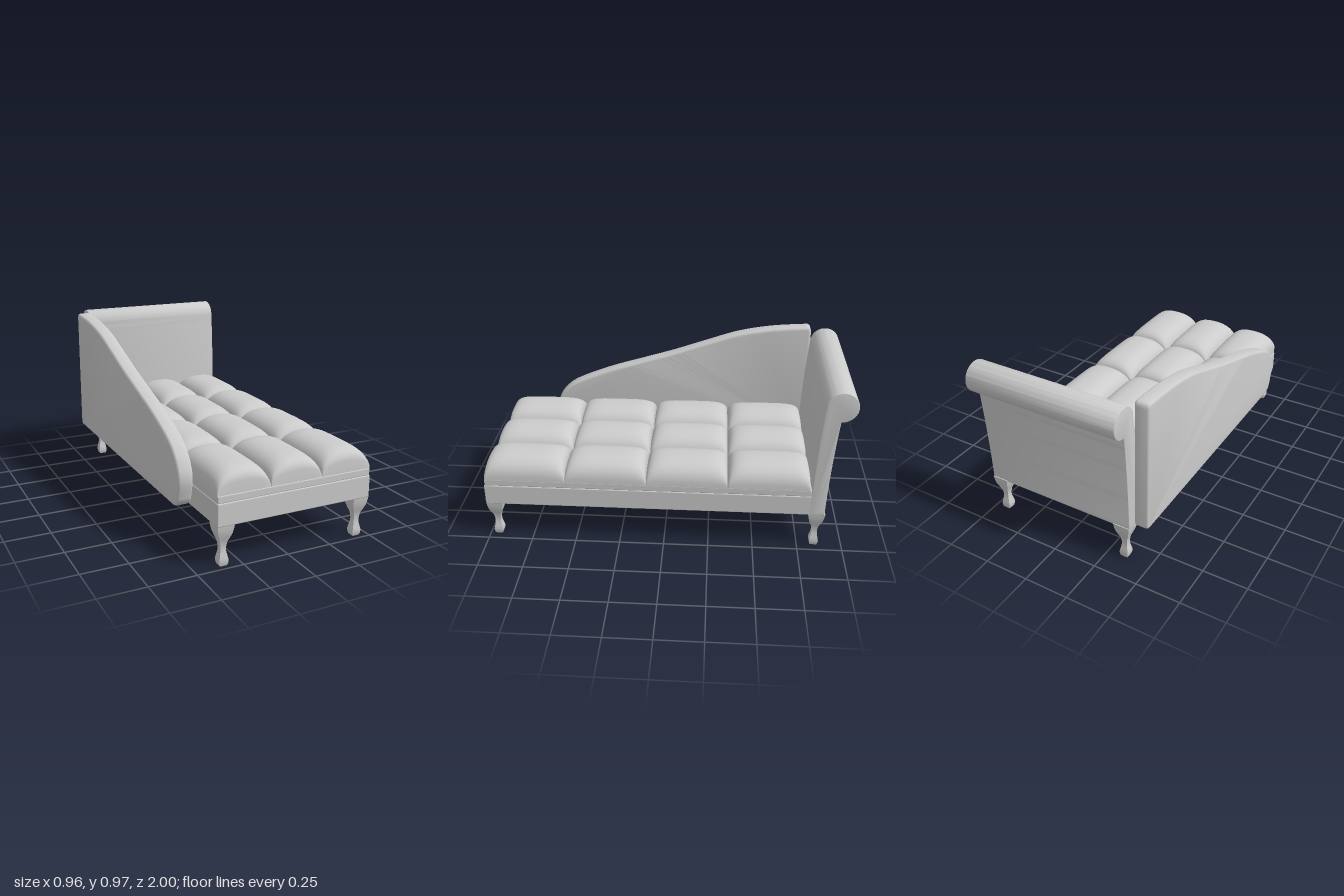
import * as THREE from 'three';
import { toCreasedNormals } from 'three/addons/utils/BufferGeometryUtils.js';
import { RoundedBoxGeometry } from 'three/addons/geometries/RoundedBoxGeometry.js';

const material = new THREE.MeshStandardMaterial({ color: 0xcccccc });
const X0 = -0.395, X1 = 0.48; // seat width limits

function add(parent, name, geometry) {
  const mesh = new THREE.Mesh(geometry, material);
  mesh.name = name;
  parent.add(mesh);
  return mesh;
}

// Rounded block given by its limits
function block(x0, x1, y0, y1, z0, z1, radius) {
  return new RoundedBoxGeometry(x1 - x0, y1 - y0, z1 - z0, 4, radius)
    .translate((x0 + x1) / 2, (y0 + y1) / 2, (z0 + z1) / 2);
}

// Extrude a (z, y) outline across x, from x0 to x1
function extrudeAcross(shape, x0, x1, size, thickness) {
  const geometry = new THREE.ExtrudeGeometry(shape, {
    depth: x1 - x0 - 2 * thickness, curveSegments: 24, bevelEnabled: size > 0,
    bevelSize: size, bevelOffset: -size, bevelThickness: thickness, bevelSegments: 5,
  });
  geometry.rotateY(-Math.PI / 2).translate(x1 - thickness, 0, 0);
  return toCreasedNormals(geometry, 0.6);
}

// Puffed cushion: a grid whose height falls off as a superellipse
function cushionGeometry(width, length, height) {
  const geometry = new THREE.PlaneGeometry(2, 2, 24, 24).rotateX(-Math.PI / 2);
  const p = geometry.attributes.position;
  const falloff = (t, e) => Math.pow(Math.max(0, 1 - Math.pow(Math.abs(t), e)), 1 / e);
  for (let i = 0; i < p.count; i++) {
    // sine spacing gathers the rows near the steep edges
    const u = Math.sin(p.getX(i) * Math.PI / 2), v = Math.sin(p.getZ(i) * Math.PI / 2);
    p.setXYZ(i, u * width / 2, height * falloff(u, 2.5) * falloff(v, 4.5), v * length / 2);
  }
  geometry.computeVertexNormals();
  return geometry;
}

// Square turned leg: half-widths by height
function legGeometry() {
  const profile = [
    [0, 0], [0.019, 0], [0.023, 0.012], [0.025, 0.03], [0.021, 0.05], [0.016, 0.075],
    [0.015, 0.095], [0.019, 0.125], [0.029, 0.15], [0.038, 0.175], [0.043, 0.2], [0.046, 0.225], [0, 0.225],
  ].map(([r, y]) => new THREE.Vector2(r * Math.SQRT2, y));
  return toCreasedNormals(new THREE.LatheGeometry(profile, 4).rotateY(Math.PI / 4), 0.8);
}

export function createModel() {
  const model = new THREE.Group();
  model.name = 'chaiseLounge';

  // Base frame and the thin mattress border above it
  add(model, 'baseFrame', block(X0, X1, 0.22, 0.34, -0.81, 1, 0.006));
  add(model, 'mattressBorder', block(X0 + 0.002, X1 - 0.002, 0.338, 0.378, -0.805, 0.996, 0.006));

  // Tufted seat, three cushions across and four along
  const seat = new THREE.Group();
  seat.name = 'seatCushions';
  model.add(seat);
  const width = (X1 - X0) / 3, length = 1.79 / 4;
  const cushion = cushionGeometry(width, length, 0.125);
  for (let i = 0; i < 3; i++) {
    for (let j = 0; j < 4; j++) {
      add(seat, 'cushion', cushion).position.set(X0 + width * (i + 0.5), 0.376, -0.797 + length * (j + 0.5));
    }
  }

  // Headrest with a scrolled top roll
  const cz = -0.916, cy = 0.886, r = 0.084;
  const head = new THREE.Shape();
  head.moveTo(-0.885, 0.22);
  head.lineTo(-0.802, 0.22);
  head.bezierCurveTo(-0.805, 0.45, -0.815, 0.7, cz + r, cy);
  head.absarc(cz, cy, r, 0, Math.PI * 1.5, false);
  head.bezierCurveTo(-0.905, 0.7, -0.888, 0.45, -0.885, 0.22);
  add(model, 'headrest', extrudeAcross(head, X0, X1, 0.004, 0.004));

  // Sloping side back, along the right side only
  const side = new THREE.Shape();
  side.moveTo(-0.825, 0.222);
  side.lineTo(0.66, 0.222);
  side.quadraticCurveTo(0.705, 0.222, 0.725, 0.27);
  side.splineThru([
    [0.745, 0.36], [0.735, 0.43], [0.69, 0.502], [0.6, 0.568], [0.4, 0.65], [0.2, 0.713], [0, 0.775],
    [-0.2, 0.845], [-0.4, 0.912], [-0.6, 0.95], [-0.81, 0.967],
  ].map(([z, y]) => new THREE.Vector2(z, y)));
  side.quadraticCurveTo(-0.832, 0.967, -0.835, 0.94);
  side.lineTo(-0.846, 0.245);
  side.quadraticCurveTo(-0.846, 0.222, -0.825, 0.222);
  add(model, 'sideBack', extrudeAcross(side, -0.481, -0.398, 0.018, 0.016));

  // Four legs
  const leg = legGeometry();
  for (const x of [-0.347, 0.433]) {
    for (const z of [0.952, -0.844]) add(model, 'leg', leg).position.set(x, 0, z);
  }
  return model;
}
